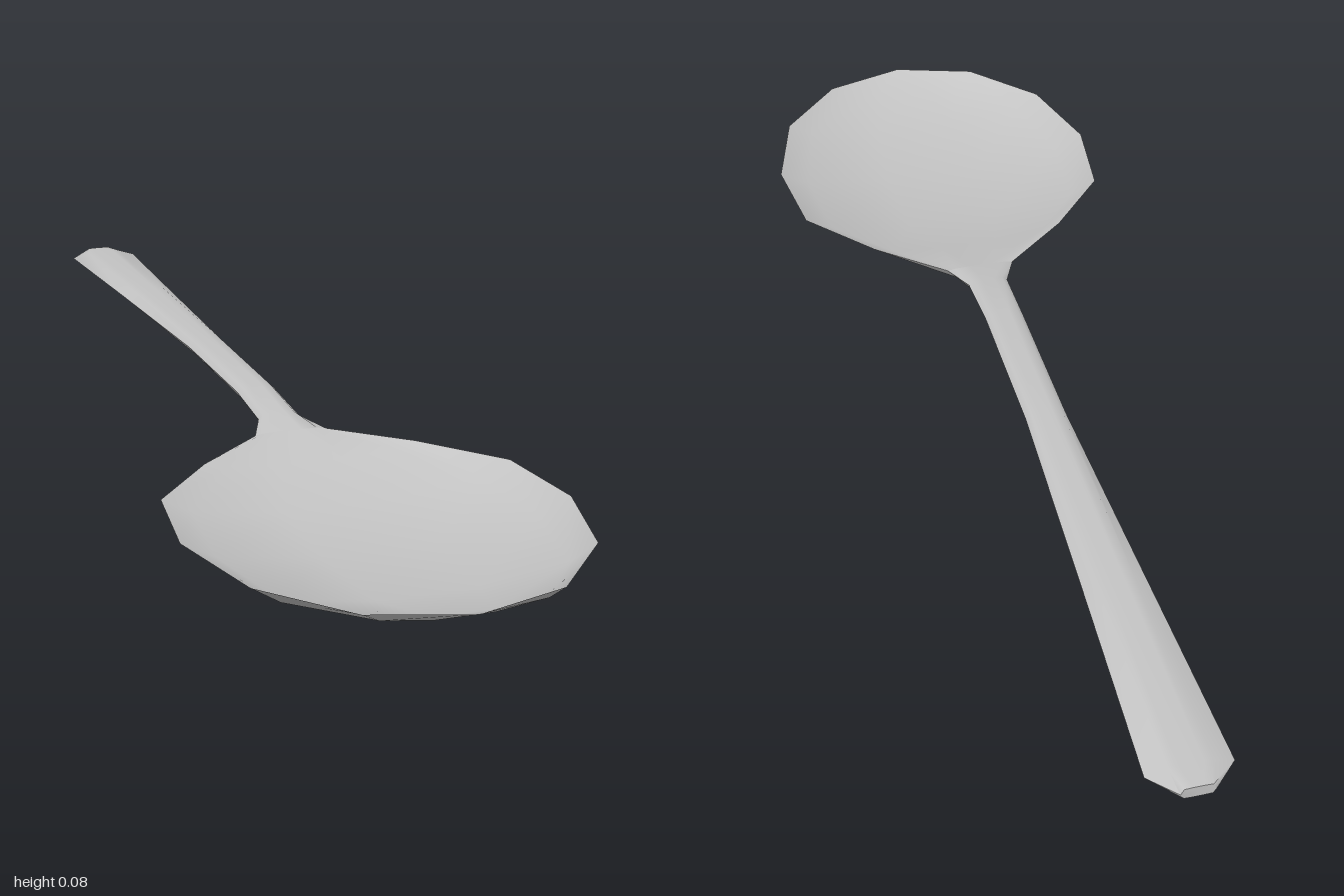
import * as THREE from 'three';
import { toCreasedNormals } from 'three/addons/utils/BufferGeometryUtils.js';

// Stations from bowl tip to handle end:
// z, half width, edge y, upper y, lower y, shoulder width ratio, shoulder height ratio
const BOWL = [
  [1.0, 0, 0.053, 0.053, 0.053, 0.83, 0.55],
  [0.955, 0.145, 0.053, 0.035, 0.031, 0.83, 0.55],
  [0.83, 0.255, 0.053, 0.009, 0.004, 0.83, 0.55],
  [0.655, 0.3, 0.053, 0.005, 0, 0.83, 0.55],
  [0.485, 0.28, 0.053, 0.009, 0.003, 0.83, 0.55],
  [0.36, 0.175, 0.053, 0.036, 0.02, 0.8, 0.6],
  [0.26, 0.06, 0.053, 0.056, 0.032, 0.75, 0.8],
];
const HANDLE = [
  [0.26, 0.06, 0.053, 0.056, 0.032, 0.75, 0.8],
  [0.2, 0.035, 0.058, 0.066, 0.044, 0.75, 0.95],
  [0.08, 0.033, 0.067, 0.076, 0.054, 0.75, 0.95],
  [-0.2, 0.034, 0.064, 0.075, 0.052, 0.74, 0.95],
  [-0.6, 0.05, 0.053, 0.065, 0.041, 0.6, 0.92],
  [-0.96, 0.065, 0.042, 0.054, 0.031, 0.5, 0.9],
  [-1.0, 0.026, 0.041, 0.051, 0.032, 0.8, 0.95],
  [-1.0, 0, 0.041, 0.041, 0.041, 0.8, 1], // closes the end
];

// Eight-point cross-section, starting at the +x edge and going over the top
function section([z, w, edge, top, bottom, f, k]) {
  const mix = (y) => edge + (y - edge) * k;
  const inner = 0.3 * w;
  return [
    [w, edge, z], [w * f, mix(top), z], [inner, top, z], [-inner, top, z], [-w * f, mix(top), z],
    [-w, edge, z], [-w * f, mix(bottom), z], [-inner, bottom, z], [inner, bottom, z], [w * f, mix(bottom), z],
  ];
}

// Skins a surface over the stations
function loft(stations) {
  const rings = stations.map(section);
  const n = rings[0].length;
  const index = [];
  for (let i = 0; i < rings.length - 1; i++) {
    for (let j = 0; j < n; j++) {
      const a = i * n + j, b = i * n + (j + 1) % n;
      index.push(a, a + n, b, b, a + n, b + n);
    }
  }
  // Reverse winding so faces point outwards
  for (let i = 0; i < index.length; i += 3) {
    const t = index[i + 1];
    index[i + 1] = index[i + 2];
    index[i + 2] = t;
  }
  const geometry = new THREE.BufferGeometry();
  geometry.setAttribute('position', new THREE.Float32BufferAttribute(rings.flat(2), 3));
  geometry.setIndex(index);
  return toCreasedNormals(geometry, Math.PI / 3);
}

export function createModel() {
  const steel = new THREE.MeshStandardMaterial({ color: 0xc4c4c4, side: THREE.DoubleSide });
  steel.name = 'steel';

  const group = new THREE.Group();
  group.name = 'spoon';
  for (const [name, stations] of [['bowl', BOWL], ['handle', HANDLE]]) {
    const mesh = new THREE.Mesh(loft(stations), steel);
    mesh.name = name;
    group.add(mesh);
  }
  return group;
}
